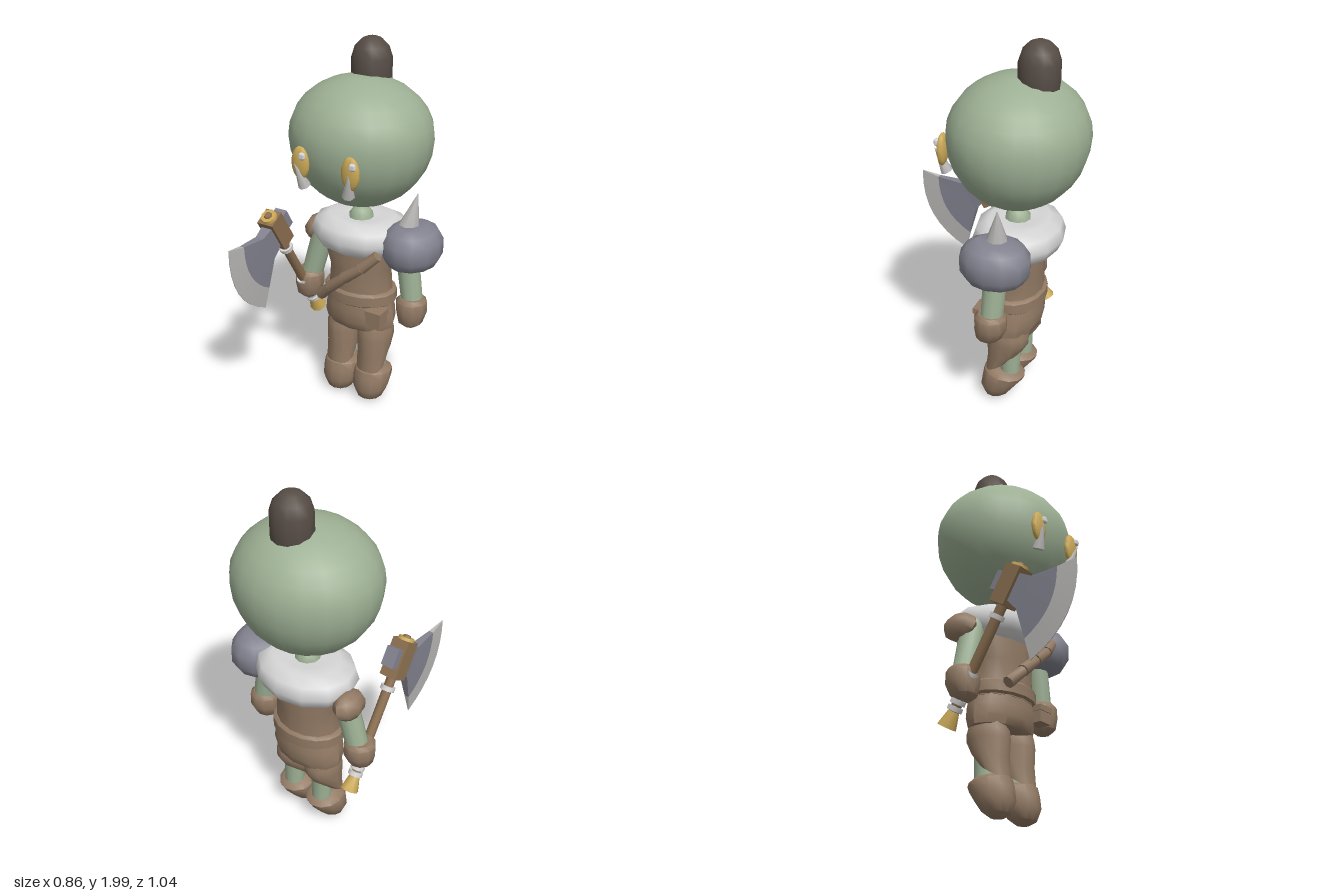
import * as THREE from 'three';
import { toCreasedNormals } from 'three/addons/utils/BufferGeometryUtils.js';

const mat = (name, color) => {
  const m = new THREE.MeshStandardMaterial({ color });
  m.name = name;
  return m;
};
const M = {
  skin: mat('green skin', 0x9db094), hair: mat('dark hair', 0x564c45),
  leather: mat('brown leather', 0x927a64), wood: mat('axe wood', 0x8c7051),
  steel: mat('blue grey steel', 0x82838f), edge: mat('pale metal', 0xb9b8b6),
  fur: mat('white fur', 0xd6d6d6), gold: mat('gold', 0xcba957),
};
const V = (x, y, z) => new THREE.Vector3(x, y, z);

function add(parent, name, geo, material, crease = 0.7) {
  const mesh = new THREE.Mesh(toCreasedNormals(geo, crease), material);
  mesh.name = name;
  parent.add(mesh);
  return mesh;
}

// Capped skin over rings of points, counter-clockwise from above, rising
function skinRings(rings) {
  const n = rings[0].length, last = rings.length - 1, pts = rings.flat(), index = [];
  rings.forEach((r, j) => {
    if (j === last) return;
    for (let i = 0; i < n; i++) {
      const a = j * n + i, b = j * n + (i + 1) % n;
      index.push(a, b, a + n, b, b + n, a + n);
    }
  });
  for (let i = 1; i < n - 1; i++) {
    index.push(0, i + 1, i);
    index.push(last * n, last * n + i, last * n + i + 1);
  }
  const g = new THREE.BufferGeometry().setFromPoints(pts);
  g.setIndex(index);
  return g;
}

// Sections: [y, centre x, centre z, radius x, radius z, slope along z]
function loft(sections, n = 14) {
  return skinRings(sections.map(([y, cx, cz, rx, rz, k = 0]) =>
    Array.from({ length: n }, (_, i) => {
      const a = (i / n) * Math.PI * 2, z = rz * Math.cos(a);
      return V(cx + rx * Math.sin(a), y + k * z, cz + z);
    })));
}

function ball(parent, name, material, p, r, w = 12, h = 8) {
  const g = new THREE.SphereGeometry(1, w, h).scale(...r);
  const m = add(parent, name, g, material, 1);
  m.position.set(...p);
  return m;
}

// Tapered round bar between two points
function bar(parent, name, material, a, b, ra, rb, n = 10) {
  const d = b.clone().sub(a);
  const m = add(parent, name, new THREE.CylinderGeometry(rb, ra, d.length(), n), material, 0.9);
  m.position.copy(a).addScaledVector(d, 0.5);
  m.quaternion.setFromUnitVectors(V(0, 1, 0), d.normalize());
  return m;
}

function buildHead(g) {
  const head = new THREE.SphereGeometry(1, 20, 14);
  const p = head.attributes.position;
  for (let i = 0; i < p.count; i++) {
    const y = p.getY(i);
    p.setXYZ(i, p.getX(i) * 0.376, y * (y > 0 ? 0.3 : 0.375), p.getZ(i) * 0.352);
  }
  add(g, 'head', head, M.skin, 1).position.set(-0.03, 1.53, -0.175);
  add(g, 'topknot', loft([
    [1.74, -0.03, -0.27, 0.095, 0.095], [1.8, -0.03, -0.27, 0.103, 0.103],
    [1.9, -0.03, -0.27, 0.103, 0.103], [1.955, -0.03, -0.27, 0.085, 0.085],
    [1.99, -0.03, -0.27, 0.05, 0.05], [2, -0.03, -0.27, 0.025, 0.025]], 12), M.hair, 0.9);
  for (const s of [-1, 1]) {
    const x = -0.027 + s * 0.143;
    ball(g, 'eye', M.gold, [x, 1.45, 0.162], [0.051, 0.085, 0.024], 14, 10);
    ball(g, 'eyeGlint', M.fur, [x + 0.023, 1.493, 0.182], [0.02, 0.02, 0.014]);
    bar(g, 'tusk', M.edge, V(-0.029 + s * 0.127, 1.33, 0.15),
      V(-0.027 + s * 0.153, 1.455, 0.2), 0.033, 0.001, 7);
  }
  add(g, 'neck', loft([[0.98, -0.03, -0.18, 0.07, 0.07], [1.09, -0.03, -0.18, 0.065, 0.065],
    [1.12, -0.03, -0.18, 0.045, 0.045], [1.135, -0.03, -0.18, 0.02, 0.02]], 10), M.skin, 1);
}

function buildTorso(g) {
  const c = -0.03, z = -0.18;
  add(g, 'tunic', loft([[0.6, c, z, 0.19, 0.145], [0.68, c, z, 0.185, 0.14],
    [0.8, c, z, 0.175, 0.14], [0.9, c, z, 0.21, 0.145], [0.97, c, z, 0.2, 0.14]]), M.leather);
  add(g, 'belt', loft([[0.605, c, z, 0.195, 0.145], [0.615, c, z, 0.207, 0.158],
    [0.67, c, z, 0.207, 0.158], [0.682, c, z, 0.19, 0.145]], 16), M.leather);
  add(g, 'skirt', loft([[0.44, c, z, 0.17, 0.11], [0.455, c, z, 0.2, 0.13],
    [0.5, c, z, 0.208, 0.145], [0.56, c, z, 0.2, 0.147], [0.63, c, z, 0.18, 0.14]], 12), M.leather);
  // Fur collar with a dip round the neck
  add(g, 'furCollar', loft([[0.9, c, -0.19, 0.2, 0.16], [0.93, c, -0.19, 0.255, 0.205],
    [0.99, c, -0.19, 0.282, 0.232], [1.05, c, -0.19, 0.262, 0.212],
    [1.085, c, -0.19, 0.19, 0.15], [1.075, c, -0.19, 0.1, 0.09]], 12), M.fur, 1);
  // Chest strap made of short overlapping segments
  const path = new THREE.CatmullRomCurve3([V(0.17, 0.96, -0.01), V(0.09, 0.88, 0.015),
    V(-0.01, 0.8, 0.022), V(-0.1, 0.72, 0.012), V(-0.18, 0.64, -0.015)]);
  for (let i = 0; i < 4; i++) {
    bar(g, 'chestStrap', M.leather, path.getPoint(i / 4), path.getPoint((i + 1) / 4),
      0.028, 0.032, 8);
  }
  add(g, 'pouch', new THREE.BoxGeometry(0.085, 0.085, 0.08), M.leather).position.set(0.137, 0.565, -0.065);
  add(g, 'pouchFlap', new THREE.BoxGeometry(0.095, 0.03, 0.09), M.leather).position.set(0.137, 0.597, -0.065);
}

function buildArms(g) {
  bar(g, 'leftArm', M.skin, V(0.295, 0.64, -0.17), V(0.25, 0.95, -0.175), 0.058, 0.062);
  bar(g, 'rightArm', M.skin, V(-0.345, 0.64, -0.16), V(-0.26, 0.96, -0.18), 0.058, 0.062);
  for (const [name, x, z] of [['leftGauntlet', 0.292, -0.165], ['rightGauntlet', -0.35, -0.155]]) {
    add(g, name, loft([[0.525, x, z + 0.01, 0.035, 0.035], [0.55, x, z + 0.01, 0.066, 0.066],
      [0.61, x, z, 0.083, 0.085], [0.67, x, z, 0.083, 0.083], [0.69, x, z, 0.065, 0.065]], 10), M.leather, 0.8);
  }
  ball(g, 'leatherShoulder', M.leather, [-0.32, 0.935, -0.21], [0.068, 0.075, 0.1], 8, 6).rotation.z = -0.3;
  // Steel pauldron with a flattened top and bottom, and its spike
  add(g, 'pauldron', loft([[0.868, 0.278, -0.18, 0.085, 0.1], [0.89, 0.278, -0.18, 0.125, 0.145],
    [0.94, 0.278, -0.18, 0.153, 0.178], [1.02, 0.278, -0.18, 0.153, 0.178],
    [1.07, 0.278, -0.18, 0.125, 0.145], [1.095, 0.278, -0.18, 0.08, 0.095]], 12), M.steel, 0.9);
  bar(g, 'pauldronSpike', M.edge, V(0.255, 1.08, -0.18), V(0.292, 1.265, -0.195), 0.057, 0.001, 8);
}

function buildLegs(g) {
  for (const s of [-1, 1]) {
    const x = -0.028 + s * 0.098;
    add(g, 'trouserLeg', loft([[0.225, x, -0.125, 0.08, 0.07, -0.6], [0.31, x, -0.16, 0.09, 0.095, -0.2],
      [0.39, x, -0.175, 0.096, 0.115], [0.43, x, -0.178, 0.096, 0.112],
      [0.48, x, -0.18, 0.08, 0.1]], 12), M.leather, 0.9);
    bar(g, 'calf', M.skin, V(x, 0.12, -0.19), V(x, 0.33, -0.19), 0.052, 0.056);
    add(g, 'boot', loft([[0.01, x, -0.115, 0.035, 0.03], [0.035, x, -0.118, 0.075, 0.07, -0.1],
      [0.09, x, -0.127, 0.1, 0.1, -0.05], [0.145, x, -0.148, 0.104, 0.112, 0.05],
      [0.18, x, -0.16, 0.102, 0.112, 0.14], [0.2, x, -0.16, 0.08, 0.085, 0.1]], 12), M.leather, 0.8);
  }
}

// Blade strip between two curves; each row gives t -> [y, z, half thickness]
function bladeStrip(inner, outer) {
  const rings = [];
  for (let i = 0; i <= 8; i++) {
    const t = i / 4 - 1, [y0, z0, h0] = inner(t), [y1, z1, h1] = outer(t);
    rings.push([V(h1, y1, z1), V(h0, y0, z0), V(-h0, y0, z0), V(-h1, y1, z1)]);
  }
  return skinRings(rings);
}

function buildAxe(g) {
  const axe = new THREE.Group();
  axe.name = 'axe';
  axe.position.set(-0.357, 1.037, 0.135);
  axe.rotation.x = 0.54;
  g.add(axe);
  add(axe, 'axeBlock', new THREE.BoxGeometry(0.095, 0.2, 0.095), M.wood);
  const hammer = add(axe, 'axeBack', new THREE.BoxGeometry(0.07, 0.1, 0.05), M.steel);
  hammer.position.set(0, 0.005, -0.068);
  bar(axe, 'axeHandle', M.wood, V(0, -0.66, 0), V(0, -0.08, 0), 0.026, 0.026, 8);
  bar(axe, 'topCap', M.gold, V(0, 0.095, 0), V(0, 0.115, 0), 0.046, 0.042, 8);
  bar(axe, 'topStud', M.wood, V(0, 0.11, 0), V(0, 0.125, 0), 0.025, 0.018, 8);
  for (const y of [-0.16, -0.46, -0.6, -0.635]) {
    bar(axe, 'handleRing', M.fur, V(0, y - 0.012, 0), V(0, y + 0.012, 0), 0.038, 0.038, 10);
  }
  bar(axe, 'pommel', M.gold, V(0, -0.73, 0), V(0, -0.65, 0), 0.048, 0.028, 8);
  const root = t => [0.07 * t, 0.04, 0.032];
  const neck = t => [-0.01 + 0.085 * t, 0.115, 0.024];
  const band = t => [-0.027 + 0.182 * t, 0.287 - 0.055 * t * t, 0.013];
  const rim = t => [-0.034 + 0.257 * t, 0.397 - 0.087 * t * t, 0.002];
  add(axe, 'bladeRoot', bladeStrip(root, neck), M.steel, 0.3);
  add(axe, 'blade', bladeStrip(neck, band), M.steel, 0.3);
  add(axe, 'bladeEdge', bladeStrip(band, rim), M.edge, 0.3);
}

export function createModel() {
  const g = new THREE.Group();
  g.name = 'axeWarrior';
  [buildHead, buildTorso, buildArms, buildLegs, buildAxe].forEach(build => build(g));
  return g;
}
